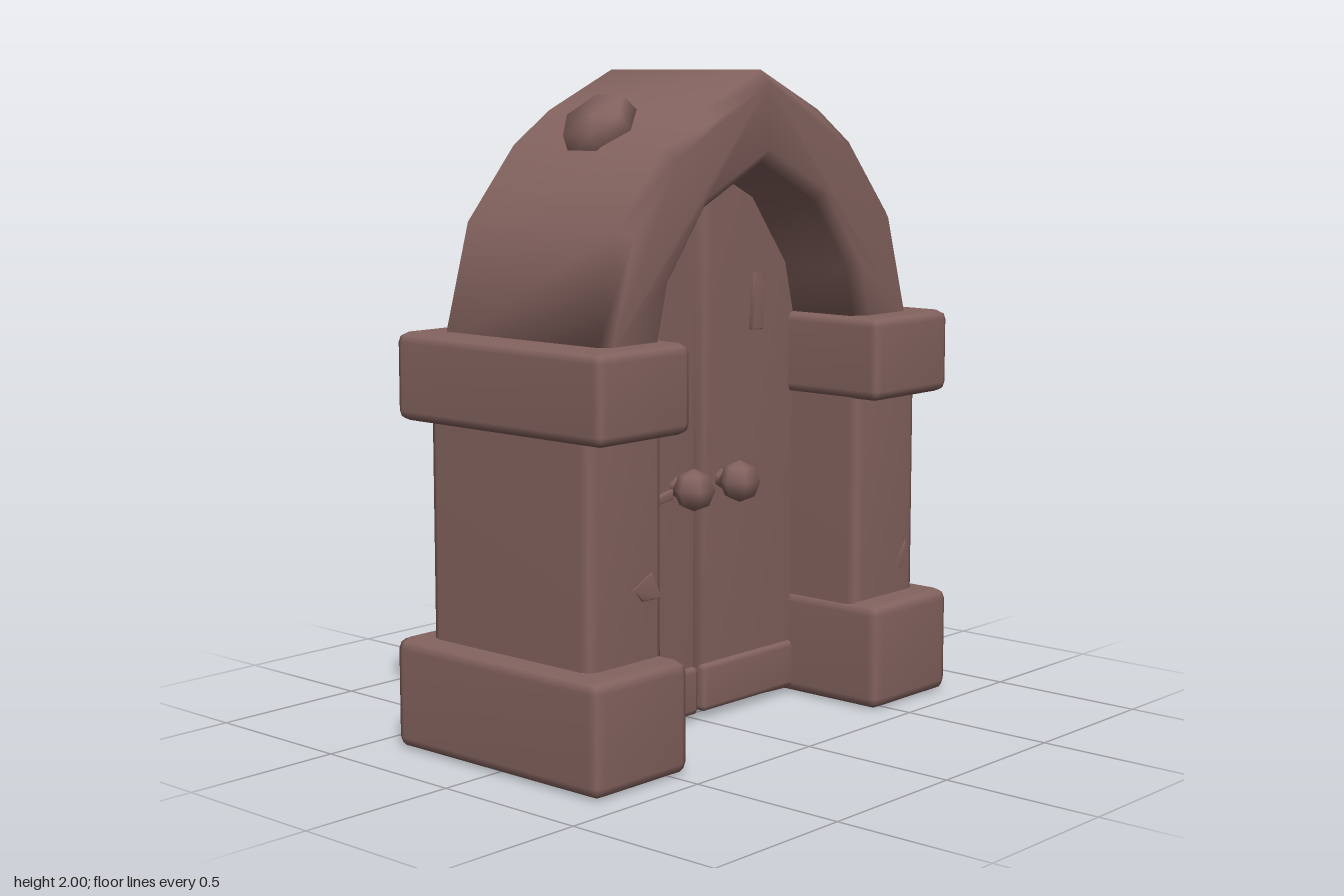
import * as THREE from 'three';
import { mergeVertices } from 'three/addons/utils/BufferGeometryUtils.js';
import { RoundedBoxGeometry } from 'three/addons/geometries/RoundedBoxGeometry.js';

const clay = new THREE.MeshStandardMaterial({ color: 0x84635f });
clay.name = 'brownClay';

// Shared corner normals give the soft, moulded look
function soften(geometry) {
  geometry.deleteAttribute('normal');
  geometry.deleteAttribute('uv');
  const g = mergeVertices(geometry, 1e-4);
  g.computeVertexNormals();
  return g;
}

function add(group, name, geometry, x = 0, y = 0, z = 0) {
  const mesh = new THREE.Mesh(geometry, clay);
  mesh.name = name;
  mesh.position.set(x, y, z);
  group.add(mesh);
  return mesh;
}

// Chamfered block given by its x, y ranges and half depth
function block(group, name, x0, x1, y0, y1, halfZ, chamfer) {
  const g = soften(new RoundedBoxGeometry(x1 - x0, y1 - y0, halfZ * 2, 1, chamfer));
  return add(group, name, g, (x0 + x1) / 2, (y0 + y1) / 2, 0);
}

// Outline extruded symmetrically about z = 0 with a bevelled rim
function slab(points, halfZ, bevel) {
  const shape = new THREE.Shape(points.map(([x, y]) => new THREE.Vector2(x, y)));
  const g = new THREE.ExtrudeGeometry(shape, {
    depth: 2 * (halfZ - bevel), bevelEnabled: true, bevelSize: bevel,
    bevelThickness: bevel, bevelOffset: -bevel, bevelSegments: 1,
  });
  g.translate(0, 0, -(halfZ - bevel));
  return soften(g);
}

const mirror = (points) => points.map(([x, y]) => [-x, y]).reverse();

export function createModel() {
  const model = new THREE.Group();
  model.name = 'archedDoorway';

  // Pointed arch
  const outer = [[0.71, 1.2], [0.61, 1.56], [0.42, 1.78], [0.27, 1.88]];
  const inner = [[0.25, 1.61], [0.41, 1.4], [0.46, 1.2]];
  const archOutline = [
    ...outer, [0, 2], ...mirror(outer),
    ...mirror(inner), [0, 1.73], ...inner,
  ];
  add(model, 'arch', slab(archOutline, 0.335, 0.035));

  // One door leaf, rounded at its rim so a groove runs between the pair
  const leaf = [[0, 0.03], [0.49, 0.01], [0.49, 1.3], [0.43, 1.47],
    [0.27, 1.67], [0.06, 1.73], [0, 1.655]];

  for (const side of [1, -1]) {
    const label = side > 0 ? 'left' : 'right';
    const range = (a, b) => (side > 0 ? [a, b] : [-b, -a]);

    // Pillar with base and capital
    block(model, label + 'Base', ...range(0.435, 0.82), 0.005, 0.34, 0.415, 0.035);
    block(model, label + 'Pillar', ...range(0.445, 0.755), 0.25, 1.05, 0.325, 0.035);
    block(model, label + 'Capital', ...range(0.425, 0.8), 0.985, 1.245, 0.415, 0.03);

    // Door leaf and the low rail at its foot
    add(model, label + 'DoorLeaf', slab(side > 0 ? leaf : mirror(leaf), 0.06, 0.025));
    block(model, label + 'FootRail', ...range(0.01, 0.47), 0.025, 0.18, 0.075, 0.02);

    // Knobs on both faces of the door
    for (const face of [1, -1]) {
      const knob = soften(new THREE.SphereGeometry(0.065, 6, 4));
      add(model, label + 'Knob', knob, side * 0.105, 0.75, face * 0.135);
      const stem = new THREE.CylinderGeometry(0.03, 0.03, 0.08, 6);
      stem.rotateX(Math.PI / 2);
      add(model, label + 'KnobStem', stem, side * 0.105, 0.75, face * 0.075);
    }

    // Six-sided stone set into the slope of the arch
    const stone = soften(new THREE.CylinderGeometry(0.105, 0.125, 0.09, 6));
    const set = add(model, label + 'ArchStone', stone, side * 0.355, 1.835, -0.01);
    set.rotation.z = -side * 0.7;
  }

  // Splintered plank, raised splinter and chips on the front
  const flake = (name, points, z) => add(model, name, slab(points, 0.01, 0.004), 0, 0, z);
  flake('splinteredPlank', [[-0.34, 0.18], [-0.21, 0.19], [-0.22, 0.36],
    [-0.29, 0.5], [-0.29, 0.69], [-0.34, 0.7], [-0.31, 0.45]], 0.075);
  flake('latchSplinter', [[-0.33, 0.69], [-0.14, 0.72], [-0.14, 0.75], [-0.3, 0.715]], 0.075);
  flake('doorSplinter', [[0.235, 1.2], [0.29, 1.2], [0.3, 1.36], [0.25, 1.38]], 0.065);
  flake('rightPillarChip', [[-0.58, 0.55], [-0.54, 0.51], [-0.46, 0.51], [-0.5, 0.59]], 0.32);
  flake('leftPillarChip', [[0.63, 0.41], [0.69, 0.42], [0.7, 0.5]], 0.32);

  return model;
}
